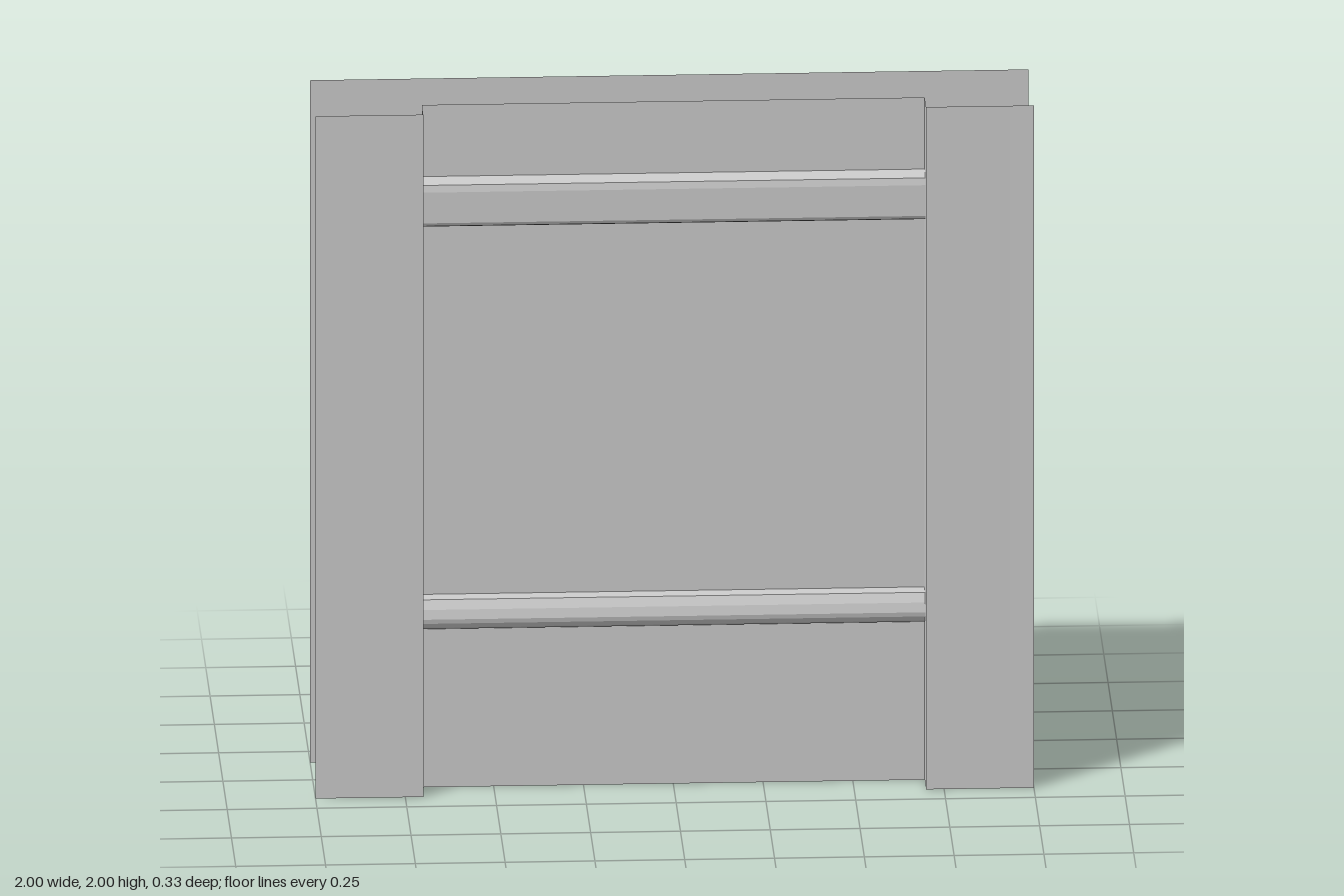
import * as THREE from 'three';

const material = new THREE.MeshStandardMaterial({ color: 0xcccccc, side: THREE.DoubleSide });
const HALF = 0.7;               // half width of the window bay
const SILL = 0.51, HEAD = 1.71; // window opening heights

function add(group, name, geometry) {
  const mesh = new THREE.Mesh(geometry, material);
  mesh.name = name;
  group.add(mesh);
  return mesh;
}

// Open sheet that sweeps a [z, y] profile across the width of the bay
function ribbon(profile) {
  const pos = [];
  for (let i = 0; i < profile.length - 1; i++) {
    const [z0, y0] = profile[i], [z1, y1] = profile[i + 1];
    pos.push(-HALF, y0, z0, -HALF, y1, z1, HALF, y1, z1);
    pos.push(-HALF, y0, z0, HALF, y1, z1, HALF, y0, z0);
  }
  const g = new THREE.BufferGeometry();
  g.setAttribute('position', new THREE.Float32BufferAttribute(pos, 3));
  g.computeVertexNormals();
  return g;
}

// Solid bar with a [z, y] cross-section and capped ends
function bar(profile) {
  const shape = new THREE.Shape(profile.map(([z, y]) => new THREE.Vector2(-z, y)));
  const g = new THREE.ExtrudeGeometry(shape, { depth: 2 * HALF, bevelEnabled: false });
  return g.rotateY(Math.PI / 2).translate(-HALF, 0, 0);
}

// Upright rectangle facing +z
function panel(x0, x1, y0, y1, z) {
  return new THREE.PlaneGeometry(x1 - x0, y1 - y0).translate((x0 + x1) / 2, (y0 + y1) / 2, z);
}

// Upright rectangle facing sideways
function sideWall(x, y0, y1, z0, z1) {
  return new THREE.PlaneGeometry(z1 - z0, y1 - y0)
    .rotateY(-Math.sign(x) * Math.PI / 2).translate(x, (y0 + y1) / 2, (z0 + z1) / 2);
}

export function createModel() {
  const model = new THREE.Group();
  model.name = 'windowWall';

  // Front pillars, their returns, and the jambs of both openings
  for (const [side, s] of [['left', 1], ['right', -1]]) {
    const x = s * HALF;
    add(model, side + 'Pillar', panel(Math.min(x, s), Math.max(x, s), 0, 2, 0.165));
    add(model, side + 'PillarReturn', sideWall(x, 0, 2, 0.08, 0.165));
    add(model, side + 'FrontJamb', sideWall(x, SILL, HEAD, 0.064, 0.08));
    add(model, side + 'BackJamb', sideWall(x, SILL, HEAD, -0.15, -0.127));
  }

  // Recessed front wall above and below the window
  add(model, 'frontUpperWall', panel(-HALF, HALF, HEAD, 2, 0.08));
  add(model, 'frontLowerWall', panel(-HALF, HALF, 0, SILL, 0.08));

  // Back wall with the window opening
  const wall = new THREE.Shape();
  wall.moveTo(-1, 0).lineTo(1, 0).lineTo(1, 2).lineTo(-1, 2).closePath();
  const hole = new THREE.Path();
  hole.moveTo(-HALF, SILL).lineTo(-HALF, HEAD).lineTo(HALF, HEAD).lineTo(HALF, SILL).closePath();
  wall.holes.push(hole);
  add(model, 'backWall', new THREE.ShapeGeometry(wall).rotateY(Math.PI).translate(0, 0, -0.152));

  // Window panes and the lining between the two walls
  add(model, 'frontPane', panel(-HALF, HALF, SILL, HEAD, 0.064));
  add(model, 'backPane', panel(-HALF, HALF, SILL, HEAD, -0.127));
  add(model, 'windowHead', ribbon([[-0.152, HEAD], [0.08, HEAD]]));
  add(model, 'windowSill', ribbon([[-0.152, SILL], [0.08, SILL]]));

  // Front mouldings with rounded noses
  add(model, 'frontHeadMoulding', ribbon([
    [0.08, 1.79], [0.1, 1.787], [0.113, 1.775], [0.117, 1.755],
    [0.117, 1.665], [0.112, 1.655], [0.1, 1.65], [0.064, 1.65]]));
  add(model, 'frontSillMoulding', ribbon([
    [0.064, 0.56], [0.1, 0.556], [0.112, 0.53], [0.117, 0.503],
    [0.114, 0.49], [0.105, 0.476], [0.093, 0.468], [0.08, 0.465]]));

  // Back casings
  add(model, 'backHeadCasing', bar([
    [-0.119, 1.65], [-0.119, 1.79], [-0.158, 1.79], [-0.165, 1.78], [-0.165, 1.655], [-0.16, 1.65]]));
  add(model, 'backSillCasing', bar([
    [-0.15, 0.465], [-0.15, 0.56], [-0.158, 0.56], [-0.165, 0.55], [-0.165, 0.47], [-0.16, 0.465]]));

  return model;
}
